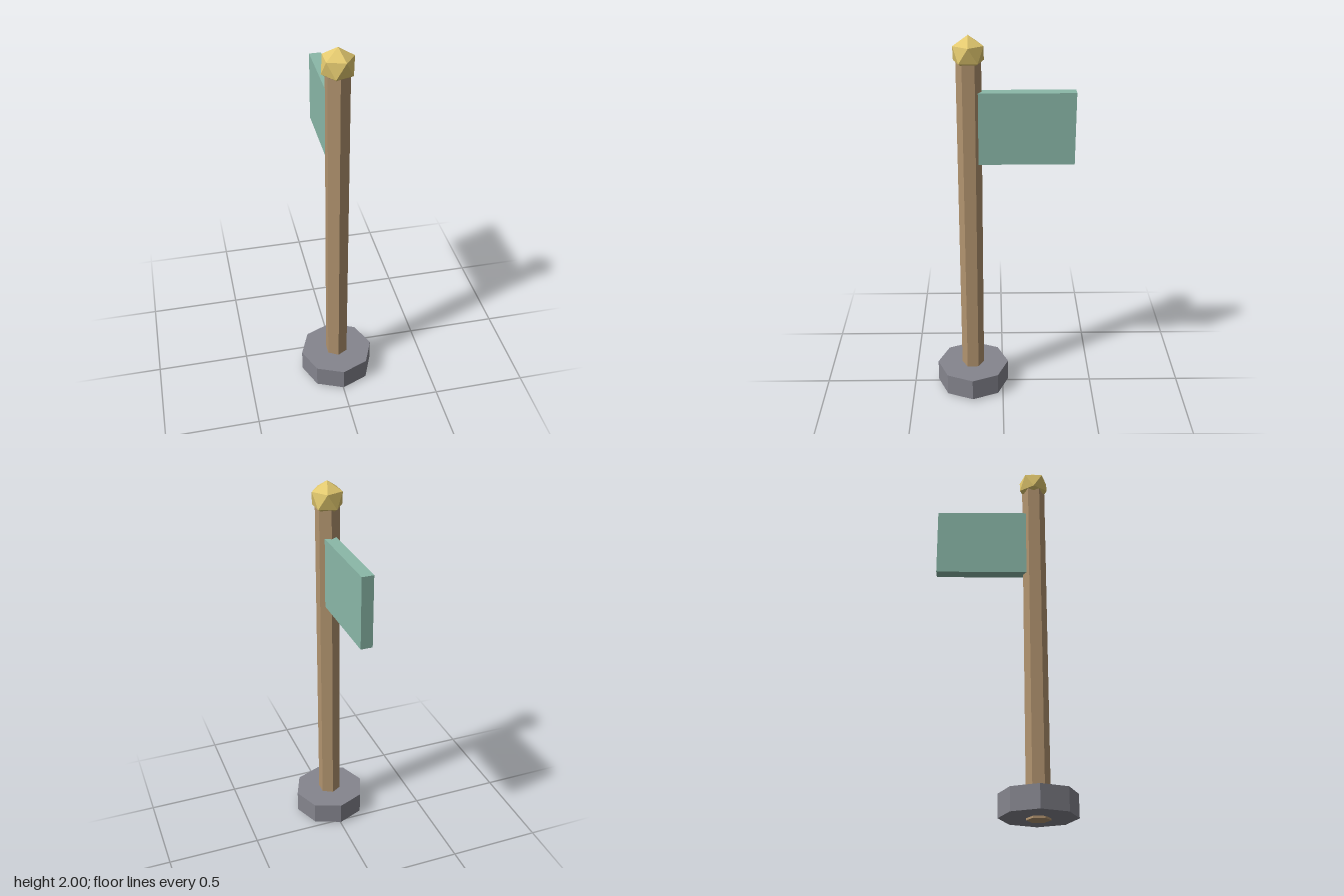
import * as THREE from 'three';

export function createModel() {
  const model = new THREE.Group();
  const poleZ = 0.168;

  const add = (name, geometry, color, x, y, z) => {
    const material = new THREE.MeshStandardMaterial({ color, flatShading: true });
    const mesh = new THREE.Mesh(geometry, material);
    mesh.name = name;
    mesh.position.set(x, y, z);
    model.add(mesh);
  };

  // Octagonal foot, corners on the axes
  add('base', new THREE.CylinderGeometry(0.198, 0.198, 0.12, 8), 0x85858e, 0, 0.07, poleZ);

  // Six-sided pole, running through the foot to the ground
  add('pole', new THREE.CylinderGeometry(0.063, 0.061, 1.87, 6), 0xb2946f, 0, 0.935, poleZ);

  // Faceted finial, turned so that one corner points straight up
  const finial = new THREE.IcosahedronGeometry(0.089, 0);
  finial.rotateZ(-Math.atan(2 / (1 + Math.sqrt(5))));
  add('finial', finial, 0xe3c96f, 0, 1.911, poleZ);

  // Thick flag reaching backwards from the pole
  add('flag', new THREE.BoxGeometry(0.062, 0.375, 0.5), 0x8ab8a8, 0, 1.53, -0.116);

  return model;
}
